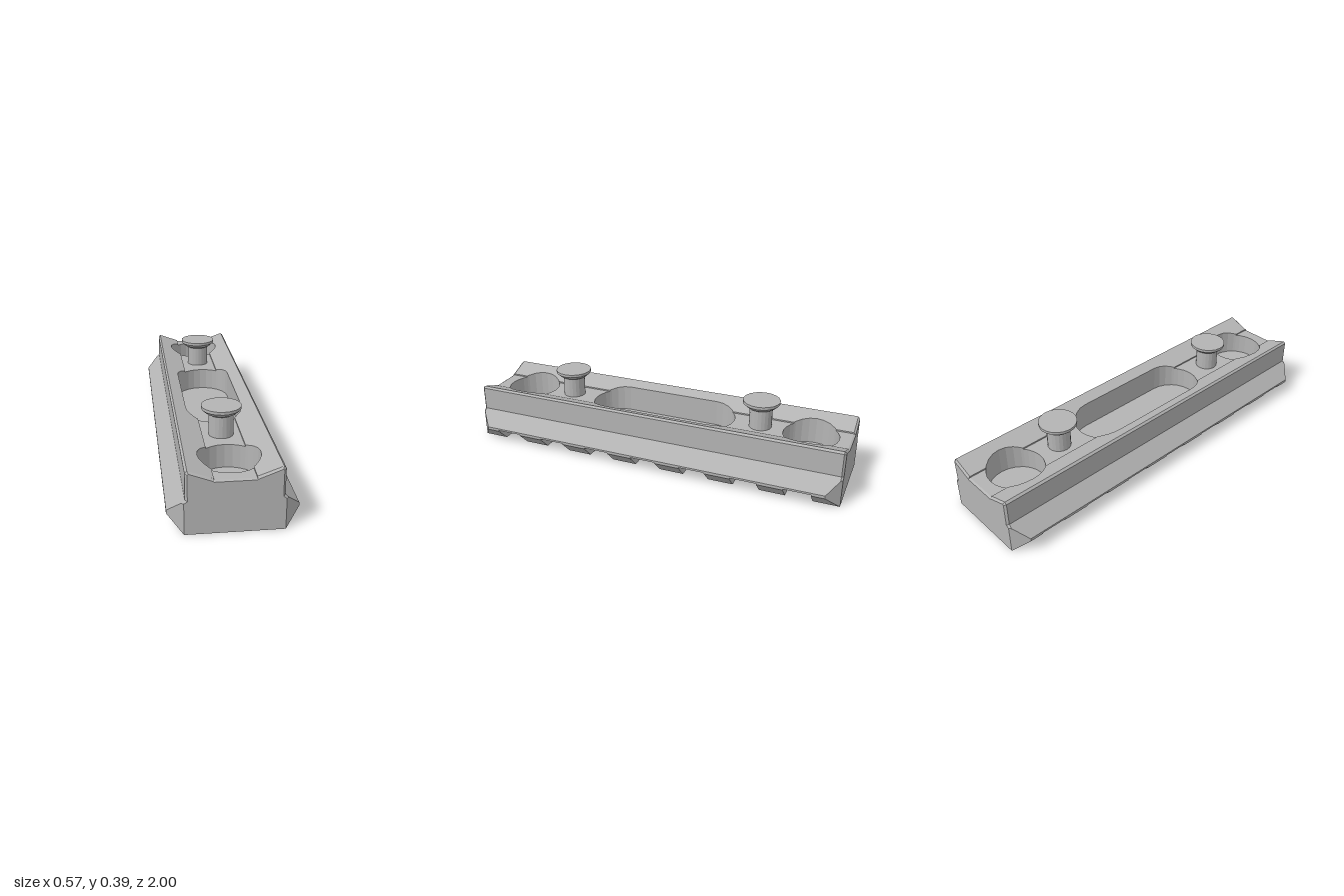
import * as THREE from 'three';
import { ConvexGeometry } from 'three/addons/geometries/ConvexGeometry.js';

const PIN_Z = 0.534, POCKET_R = 0.14, BORE_R = 0.09;
const DECK = 0.243, CEIL = 0.075, CORE = 0.215, WIDE = 0.285;

// Collects quads (corners counter-clockwise from outside) into one geometry
function quadBuilder() {
  const pos = [];
  return {
    quad(a, b, c, d, flip = false) {
      const q = flip ? [a, c, b, a, d, c] : [a, b, c, a, c, d];
      q.forEach((p) => pos.push(...p));
    },
    build() {
      const g = new THREE.BufferGeometry();
      g.setAttribute('position', new THREE.Float32BufferAttribute(pos, 3));
      g.computeVertexNormals();
      return g;
    },
  };
}

// Surface made of columns along z, with round-ended pockets sunk into it
function pocketedSurface(out, cols, zEnd, holes, r, floor, flip) {
  const half = (x) => Math.sqrt(Math.max(0, r * r - x * x));
  const edges = (x) => [-zEnd, ...holes.flatMap(([z0, z1]) => [z0 - half(x), z1 + half(x)]), zEnd];
  for (let i = 0; i < cols.length - 1; i++) {
    const [ax, ay] = cols[i], [bx, by] = cols[i + 1];
    if (Math.abs(ax + bx) / 2 >= r) {
      out.quad([ax, ay, -zEnd], [ax, ay, zEnd], [bx, by, zEnd], [bx, by, -zEnd], flip);
      continue;
    }
    const ea = edges(ax), eb = edges(bx);
    for (let k = 0; k < ea.length - 1; k++) {
      const sunk = k % 2 === 1;
      const ya = sunk ? floor : ay, yb = sunk ? floor : by;
      out.quad([ax, ya, ea[k]], [ax, ya, ea[k + 1]], [bx, yb, eb[k + 1]], [bx, yb, eb[k]], flip);
      if (k > 0) {
        out.quad([ax, floor, ea[k]], [bx, floor, eb[k]], [bx, by, eb[k]], [ax, ay, ea[k]], sunk ? flip : !flip);
      }
    }
  }
  // straight sides of elongated pockets
  for (const [z0, z1] of holes) {
    if (z0 === z1) continue;
    for (const s of [-1, 1]) {
      const x = s * r, y = cols.find((c) => Math.abs(c[0] - x) < 1e-6)[1];
      out.quad([x, floor, z0], [x, y, z0], [x, y, z1], [x, floor, z1], s > 0 ? !flip : flip);
    }
  }
}

// Sideways samples of a circle of radius r, for 0 < x <= r
const arcXs = (r) => [1, 2, 3, 4, 5, 6].map((k) => r * Math.sin((k * Math.PI) / 12));
const mirrorCols = (half) => [...half.map(([x, y]) => [-x, y]).reverse(), ...half];

// Cross-section loop of the body: c limits the side ridge, e insets the edges
function profile(c, e) {
  const half = [
    [c, CEIL], [c, 0.37 - c - e], [0.21 - e, 0.16 - e / 2], [0.21 - e, 0.28 - e / 2],
    [0.2 - e / 2, 0.29 - e], [0.09, 0.25 - e], [0.09, DECK - e / 2],
  ];
  return [...half, ...half.map(([x, y]) => [-x, y]).reverse()];
}

function bodyGeometry() {
  const out = quadBuilder();
  const ends = [[1, profile(CORE, 0.01)], [0.99, profile(0.226, 0)], [0.935, profile(WIDE, 0)]];
  const sections = [...ends.map(([z, p]) => [-z, p]), ...ends.slice().reverse()];
  for (let k = 0; k < 5; k++) {
    const [z0, p] = sections[k], [z1, q] = sections[k + 1];
    for (let i = 0; i < p.length; i++) {
      const top = i >= 4 && i <= 8, bottom = i === p.length - 1;
      if ((top && k > 0 && k < 4) || (bottom && k === 2)) continue;
      const j = (i + 1) % p.length;
      out.quad([...p[i], z0], [...p[j], z0], [...q[j], z1], [...q[i], z1]);
    }
  }

  // V-shaped deck with a shallow centre channel, two round pockets and a long one
  const xs = [0, ...arcXs(POCKET_R)];
  const slope = (x) => 0.25 + ((x - 0.09) * 0.04) / 0.11;
  const deck = [
    ...xs.filter((x) => x < 0.09).map((x) => [x, DECK]), [0.09, DECK], [0.09, 0.25],
    ...xs.filter((x) => x > 0.09).map((x) => [x, slope(x)]), [0.2, 0.29],
  ];
  const pockets = [[-0.795, -0.795], [-0.255, 0.255], [0.795, 0.795]];
  pocketedSurface(out, mirrorCols(deck), 0.99, pockets, POCKET_R, 0.13, false);

  // underside with the bores below the pins
  const under = [0, ...arcXs(BORE_R), WIDE].map((x) => [x, CEIL]);
  pocketedSurface(out, mirrorCols(under), 0.935, [[-PIN_Z, -PIN_Z], [PIN_Z, PIN_Z]], BORE_R, 0.11, true);
  return out.build();
}

// Middle block of a tooth, notched where a bore touches its flank
function toothCore(z0, z1) {
  const half = [0, ...arcXs(BORE_R), CORE];
  const xs = [...half.slice(1).map((x) => -x).reverse(), ...half];
  const flank = (z, x) => {
    const c = Math.sign(z) * PIN_Z, d = z - c;
    if (Math.abs(d) >= BORE_R) return z;
    return c + Math.sign(d) * Math.max(Math.abs(d), Math.sqrt(Math.max(0, BORE_R ** 2 - x * x)));
  };
  const pts = [
    ...xs.map((x) => new THREE.Vector2(x, flank(z0, x))),
    ...xs.slice().reverse().map((x) => new THREE.Vector2(x, flank(z1, x))),
  ];
  const g = new THREE.ExtrudeGeometry(new THREE.Shape(pts), { depth: CEIL, bevelEnabled: false });
  return g.rotateX(Math.PI / 2).translate(0, CEIL, 0);
}

// Sloping side of a tooth, cut back at the rail's ends
function toothSide(z0, z1, s) {
  const pts = [];
  for (const z of [z0, z1]) {
    const end = Math.abs(z) > 0.99, zo = end ? Math.sign(z) * 0.935 : z;
    pts.push(new THREE.Vector3(s * CORE, 0, z), new THREE.Vector3(s * CORE, CEIL, z));
    pts.push(new THREE.Vector3(s * WIDE, 0.07, zo), new THREE.Vector3(s * WIDE, CEIL, zo));
  }
  return new ConvexGeometry(pts);
}

export function createModel() {
  const group = new THREE.Group();
  const metal = new THREE.MeshStandardMaterial({ color: 0xb4b4b4, flatShading: true, side: THREE.DoubleSide });
  metal.name = 'grey metal';
  const add = (name, geometry, parent = group) => {
    const mesh = new THREE.Mesh(geometry, metal);
    mesh.name = name;
    parent.add(mesh);
    return mesh;
  };

  add('railBody', bodyGeometry());

  // End faces
  const endShape = new THREE.Shape(profile(CORE, 0.01).map(([x, y]) => new THREE.Vector2(x, y)));
  add('frontEnd', new THREE.ShapeGeometry(endShape).translate(0, 0, 1));
  add('backEnd', new THREE.ShapeGeometry(endShape).translate(0, 0, 1).rotateY(Math.PI));

  // Eight cross teeth underneath
  const pitch = 0.267, gap = 0.068;
  for (let i = 0; i < 8; i++) {
    const z0 = i === 0 ? -1 : (i - 4) * pitch + gap;
    const z1 = i === 7 ? 1 : (i - 3) * pitch - gap;
    const tooth = new THREE.Group();
    tooth.name = 'tooth';
    add('toothCore', toothCore(z0, z1), tooth);
    for (const s of [-1, 1]) add('toothSide', toothSide(z0, z1, s), tooth);
    group.add(tooth);
  }

  // Two flanged pins
  const pinProfile = [
    [0, 0.1], [0.058, 0.1], [0.058, 0.347], [0.065, 0.354], [0.073, 0.355],
    [0.094, 0.374], [0.094, 0.388], [0, 0.388],
  ].map(([x, y]) => new THREE.Vector2(x, y));
  for (const s of [-1, 1]) {
    add('pin', new THREE.LatheGeometry(pinProfile, 20)).position.z = s * PIN_Z;
  }
  return group;
}
